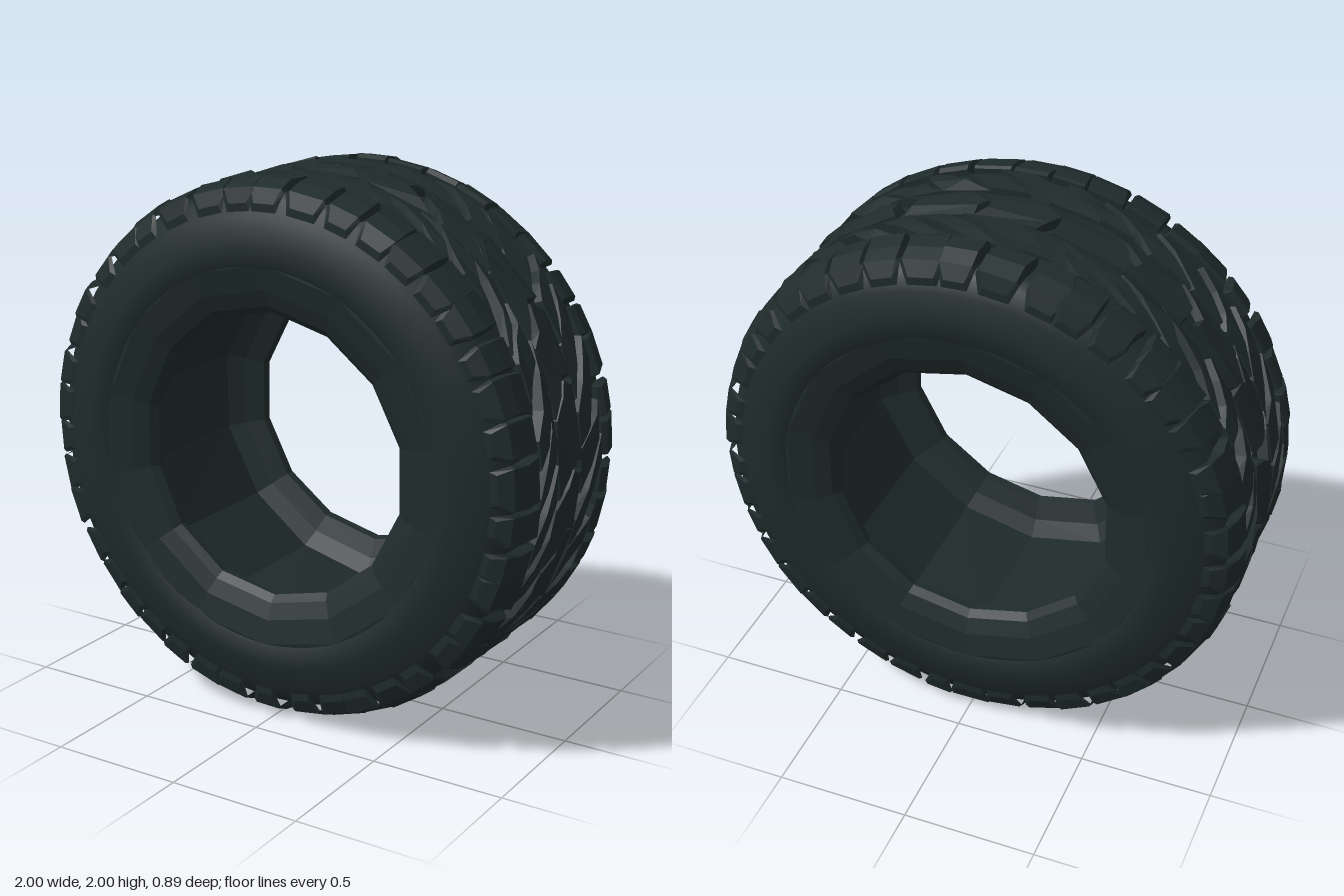
import * as THREE from 'three';

const rubber = new THREE.MeshStandardMaterial({ color: 0x1f2b2b });
rubber.name = 'darkRubber';

// Small seeded generator for uneven block edges
let seed = 7;
const rand = () => (seed = (seed * 16807) % 2147483647) / 2147483647;
const jitter = (a) => (rand() - 0.5) * 2 * a;

const BASE = 0.96; // radius at the bottom of the grooves

// Revolve [radius, z] points around the z axis, mirrored to both sides
function ring(half, segments, outward) {
  const mirrored = half.map(([r, z]) => [r, -z]).reverse();
  const profile = outward ? [...mirrored, ...half] : [...half, ...mirrored];
  const pts = profile.map(([r, z]) => new THREE.Vector2(r, z));
  return new THREE.LatheGeometry(pts, segments).rotateX(Math.PI / 2);
}

// One tread block: stations along z, each { z, r, lo, hi } (lo/hi are angles)
function addBlock(out, stations) {
  const rings = stations.map(({ z, r, lo, hi, base = BASE - 0.01 }) => {
    const p = (a, rad) => [Math.cos(a) * rad, Math.sin(a) * rad, z];
    const slope = 0.012;
    return [p(lo - slope, base), p(lo, r), p(hi, r), p(hi + slope, base)];
  });
  const quad = (a, b, c, d) => out.push(...a, ...b, ...c, ...a, ...c, ...d);
  for (let s = 0; s < rings.length - 1; s++) {
    for (let i = 0; i < 3; i++) {
      quad(rings[s][i], rings[s][i + 1], rings[s + 1][i + 1], rings[s + 1][i]);
    }
  }
  const first = rings[0], last = rings[rings.length - 1];
  quad(last[0], last[1], last[2], last[3]);
  quad(first[3], first[2], first[1], first[0]);
}

// Repeat a block around the wheel and merge the row into one mesh
function row(name, count, makeStations) {
  const out = [];
  const step = (Math.PI * 2) / count;
  for (let i = 0; i < count; i++) addBlock(out, makeStations(i * step, step, i));
  const g = new THREE.BufferGeometry();
  g.setAttribute('position', new THREE.Float32BufferAttribute(out, 3));
  g.computeVertexNormals();
  const mesh = new THREE.Mesh(g, rubber);
  mesh.name = name;
  return mesh;
}

export function createModel() {
  seed = 7;
  const tyre = new THREE.Group();
  tyre.name = 'tyre';

  // Carcass: smooth sidewalls and the floor of the tread grooves
  const wall = [[BASE, 0.27], [0.948, 0.33], [0.925, 0.385], [0.86, 0.419],
    [0.77, 0.444], [0.70, 0.443], [0.64, 0.40]];
  const carcass = new THREE.Mesh(ring(wall, 64, true), rubber);
  carcass.name = 'carcass';
  tyre.add(carcass);

  // Coarse faceted bead: dished rim, narrow lip, then a wider hollow inside
  const lip = [[0.76, 0.43], [0.70, 0.438], [0.61, 0.42], [0.55, 0.395], [0.524, 0.37],
    [0.53, 0.34], [0.60, 0.31], [0.66, 0.27]];
  const inner = ring(lip, 14, false);
  const pos = inner.attributes.position;
  for (let i = 0; i < pos.count; i++) {
    const a = Math.atan2(pos.getY(i), pos.getX(i));
    const k = 1 + 0.012 * Math.sin(3 * a + pos.getZ(i) * 5);
    pos.setXY(i, pos.getX(i) * k, pos.getY(i) * k);
  }
  const facets = inner.toNonIndexed();
  facets.computeVertexNormals();
  const bead = new THREE.Mesh(facets, rubber);
  bead.name = 'beadAndHollow';
  tyre.add(bead);

  for (const side of [1, -1]) {
    const label = side > 0 ? 'front' : 'back';

    // Shoulder blocks wrapping over onto the sidewall
    tyre.add(row(label + 'ShoulderBlocks', 42, (a, step) => {
      const lo = a + jitter(0.016), hi = a + step * 0.82 + jitter(0.016);
      const lean = jitter(0.02);
      const s = [
        { z: 0.252 + jitter(0.006), r: 0.985, lo, hi },
        { z: 0.268, r: 1 - rand() * 0.012, lo, hi },
        { z: 0.33, r: 0.99 - rand() * 0.008, lo: lo + lean, hi: hi + lean },
        { z: 0.388 + jitter(0.007), r: 0.962, lo: lo + lean, hi: hi + lean },
        { z: 0.409, r: 0.908, lo: lo + lean + 0.02, hi: hi + lean - 0.02, base: 0.88 },
      ].map((p) => ({ ...p, z: p.z * side }));
      return side > 0 ? s : s.reverse();
    }));

    // Slanted, tapering blocks of the intermediate ribs
    tyre.add(row(label + 'SlantedBlocks', 32, (a, step, i) => {
      const w = step * (i % 2 ? 0.78 : 0.92);
      const slant = 0.12 + jitter(0.035);
      const wide = 0.07 + jitter(0.006);
      const s = [];
      for (let k = 0; k <= 3; k++) {
        const t = k / 3;
        const shift = slant * (1 - 2 * t);
        const taper = 0.06 * (side > 0 ? t : 1 - t) * (i % 3 ? 0.5 : 1);
        s.push({
          z: side * 0.17 + wide * (2 * t - 1),
          r: (k % 3 ? 1 : 0.99) - rand() * 0.014,
          lo: a + shift + taper + jitter(0.016),
          hi: a + w + shift - taper + jitter(0.016),
        });
      }
      return s;
    }));
  }

  // Centre rib: long pointed blocks separated by diagonal cuts
  tyre.add(row('centreRibBlocks', 22, (a, step, i) => {
    const w = step * (i % 2 ? 0.84 : 0.95);
    const dir = i % 3 ? 1 : 0.6;
    return [-0.08, -0.04, 0, 0.04, 0.08].map((z, k) => {
      const v = 0.09 * dir * (1 - Math.abs(z) / 0.08) - z * 0.7;
      return {
        z: z + jitter(0.006),
        r: (k % 4 ? 1 : 0.988) - rand() * 0.01,
        lo: a + v + jitter(0.018),
        hi: a + w + v + jitter(0.018),
      };
    });
  }));

  tyre.position.y = 1;
  const model = new THREE.Group();
  model.name = 'tyreModel';
  model.add(tyre);
  return model;
}
